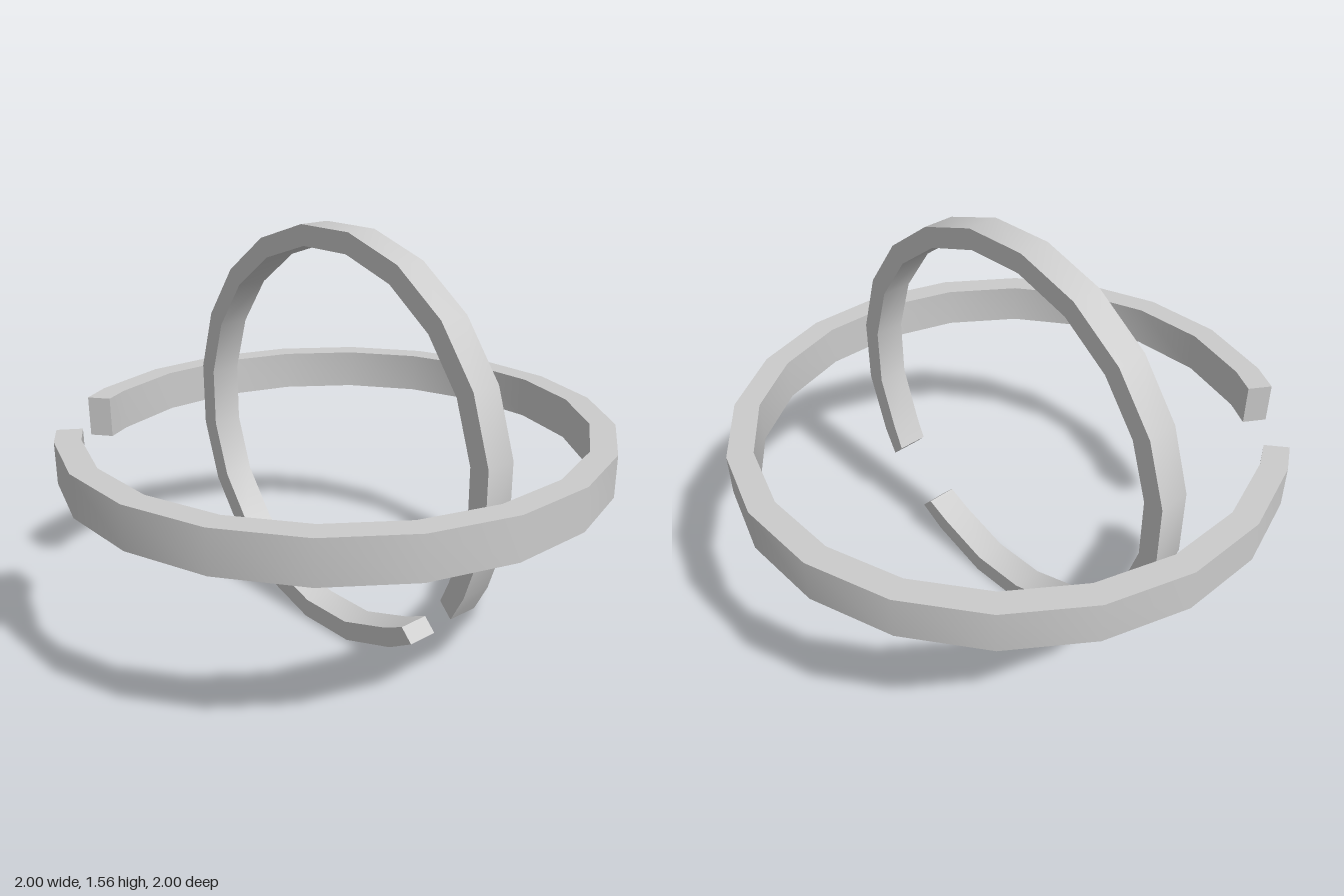
import * as THREE from 'three';
import { toCreasedNormals } from 'three/addons/utils/BufferGeometryUtils.js';

const material = new THREE.MeshStandardMaterial({ color: 0xcccccc });
const SIDES = 20;
const STEP = (Math.PI * 2) / SIDES;

// Broken 20-sided band, gap centred on the +u+v diagonal.
// outer/inner: distances to the flats; ends: cut corners [outer, inner] at each side of the gap.
function brokenRing(name, outer, inner, width, startCut, endCut) {
  const arc = (apothem) => {
    const r = apothem / Math.cos(STEP / 2);
    const pts = [];
    for (let k = 3; k <= SIDES + 1; k++) {
      const a = (k + 0.5) * STEP;
      pts.push(new THREE.Vector2(r * Math.cos(a), r * Math.sin(a)));
    }
    return pts;
  };
  const p = ([u, v]) => new THREE.Vector2(u, v);
  const shape = new THREE.Shape([
    p(startCut[0]), ...arc(outer), p(endCut[0]),
    p(endCut[1]), ...arc(inner).reverse(), p(startCut[1]),
  ]);
  const geo = new THREE.ExtrudeGeometry(shape, { depth: width, bevelEnabled: false });
  geo.translate(0, 0, -width / 2);
  const mesh = new THREE.Mesh(toCreasedNormals(geo, 0.6), material);
  mesh.name = name;
  return mesh;
}

// Turns the ring so its u, v and width axes point along the given directions
function orient(mesh, u, v, w) {
  mesh.quaternion.setFromRotationMatrix(new THREE.Matrix4().makeBasis(
    new THREE.Vector3(...u), new THREE.Vector3(...v), new THREE.Vector3(...w)));
  mesh.position.y = 0.78;
  return mesh;
}

export function createModel() {
  const group = new THREE.Group();
  group.name = 'interlockedRings';

  // Large horizontal ring, gap at back right
  group.add(orient(
    brokenRing('horizontalRing', 1, 0.908, 0.155,
      [[0.567, 0.836], [0.512, 0.765]], [[0.836, 0.57], [0.758, 0.52]]),
    [-1, 0, 0], [0, 0, -1], [0, -1, 0]));

  // Smaller upright ring, gap at lower front
  group.add(orient(
    brokenRing('uprightRing', 0.78, 0.705, 0.12,
      [[0.468, 0.641], [0.42, 0.592]], [[0.65, 0.46], [0.6, 0.409]]),
    [0, 0, 1], [0, -1, 0], [1, 0, 0]));

  return group;
}
